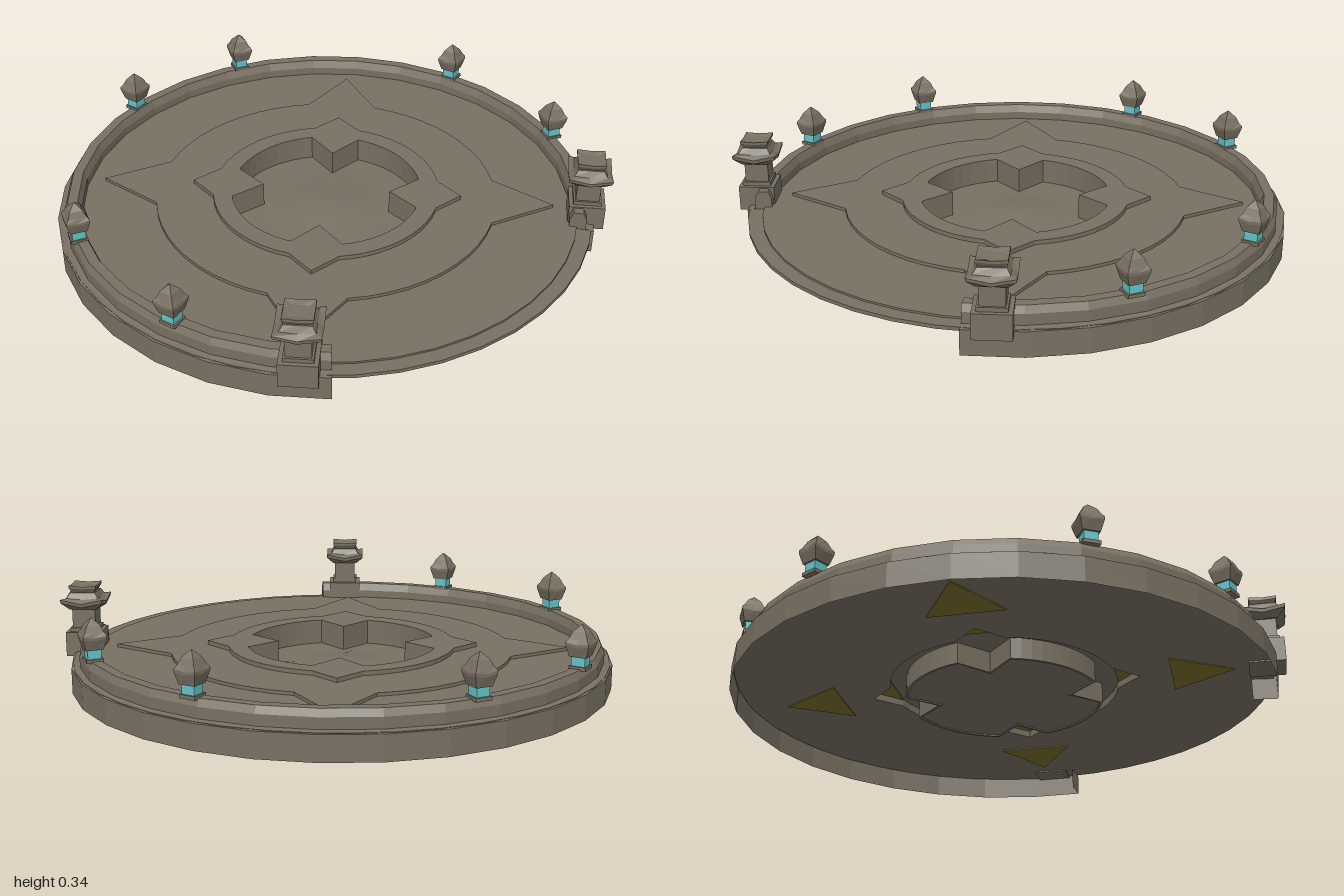
import * as THREE from 'three';

const rad = THREE.MathUtils.degToRad;
const stone = new THREE.MeshStandardMaterial({ color: 0x787062, side: THREE.DoubleSide });
stone.name = 'stone';
const olive = new THREE.MeshStandardMaterial({ color: 0x7a6c2a, side: THREE.DoubleSide });
olive.name = 'olive inlay';
const cyan = new THREE.MeshStandardMaterial({ color: 0x62c3c9 });
cyan.name = 'cyan glow';

function part(name, geometry, material = stone) {
  const mesh = new THREE.Mesh(geometry, material);
  mesh.name = name;
  return mesh;
}

function faceted(geometry) {
  const g = geometry.index ? geometry.toNonIndexed() : geometry;
  g.computeVertexNormals();
  return g;
}

// Four arcs joined by a corner point on each diagonal: pointed out or notched in.
function outline(arcRadius, halfAngle, cornerRadius, steps = 10) {
  const points = [];
  const add = (r, deg) => points.push(new THREE.Vector2(r * Math.cos(rad(deg)), r * Math.sin(rad(deg))));
  for (let q = 0; q < 4; q++) {
    for (let i = 0; i <= steps; i++) add(arcRadius, q * 90 - halfAngle + (2 * halfAngle * i) / steps);
    add(cornerRadius, q * 90 + 45);
  }
  return points;
}

// Horizontal plate between two heights, with an optional hole.
function plate(points, y0, y1, hole) {
  const shape = new THREE.Shape(points);
  if (hole) shape.holes.push(new THREE.Path(hole));
  const g = new THREE.ExtrudeGeometry(shape, { depth: y1 - y0, bevelEnabled: false });
  return g.rotateX(-Math.PI / 2).translate(0, y0, 0);
}

// Skin over closed rings of equal point count.
function loft(rings) {
  const n = rings[0].length;
  const position = rings.flat().flatMap((p) => [p.x, p.y, p.z]);
  const index = [];
  for (let r = 0; r < rings.length - 1; r++) {
    for (let i = 0; i < n; i++) {
      const a = r * n + i, b = r * n + ((i + 1) % n);
      index.push(a, a + n, b, b, a + n, b + n);
    }
  }
  const g = new THREE.BufferGeometry();
  g.setAttribute('position', new THREE.Float32BufferAttribute(position, 3));
  g.setIndex(index);
  g.computeVertexNormals();
  return g;
}

// Square loft; each section is [half width, height, corner lift].
function squareLoft(sections) {
  const corners = [[1, 0], [1, 1], [0, 1], [-1, 1], [-1, 0], [-1, -1], [0, -1], [1, -1]];
  return faceted(loft(sections.map(([h, y, lift = 0]) =>
    corners.map(([x, z]) => new THREE.Vector3(x * h, y + (x && z ? lift : 0), z * h)))));
}

function box(w, y0, y1) {
  return new THREE.BoxGeometry(w, y1 - y0, w).translate(0, (y0 + y1) / 2, 0);
}

function placeOnRim(group, radius, deg) {
  group.position.set(radius * Math.cos(rad(deg)), 0, radius * Math.sin(rad(deg)));
  group.rotation.y = -rad(deg);
  return group;
}

function makeLamp() {
  const lamp = new THREE.Group();
  lamp.name = 'lamp';
  lamp.add(part('lampFoot', box(0.06, 0.155, 0.168)));
  lamp.add(part('lampGlow', box(0.048, 0.168, 0.202), cyan));
  lamp.add(part('lampCap', squareLoft([
    [0, 0.2], [0.03, 0.2], [0.041, 0.235, 0.006], [0.041, 0.245, 0.006],
    [0.033, 0.262], [0.023, 0.285], [0.007, 0.303], [0, 0.31],
  ])));
  return lamp;
}

function makeGatePost() {
  const post = new THREE.Group();
  post.name = 'gatePost';
  post.add(part('pedestal', box(0.13, 0.075, 0.165)));
  post.add(part('plinth', box(0.1, 0.165, 0.18)));
  post.add(part('shaft', box(0.085, 0.18, 0.262)));
  post.add(part('roof', squareLoft([
    [0, 0.25], [0.05, 0.25], [0.076, 0.262, 0.016], [0.078, 0.275, 0.016],
    [0.058, 0.288, 0.005], [0.046, 0.312], [0, 0.312],
  ])));
  post.add(part('roofCap', squareLoft([[0.038, 0.308], [0.05, 0.326, 0.004], [0.05, 0.335, 0.004], [0.03, 0.33], [0, 0.33]])));
  return post;
}

export function createModel() {
  const model = new THREE.Group();
  model.name = 'arena';

  // Rim wall, open towards +x
  const openAngle = 38;
  const profile = [[0.99, 0], [0.99, 0.09], [0.96, 0.096], [0.96, 0.135], [0.948, 0.16],
    [0.912, 0.16], [0.9, 0.13], [0.9, 0.09]].map(([x, y]) => new THREE.Vector2(x, y));
  model.add(part('rimWall', faceted(new THREE.LatheGeometry(
    profile, 24, rad(90 + openAngle), rad(360 - 2 * openAngle)))));
  for (const side of [1, -1]) {
    const end = new THREE.ShapeGeometry(new THREE.Shape([...profile, new THREE.Vector2(0.9, 0)]));
    model.add(part('rimWallEnd', end.rotateY(-side * rad(openAngle))));
  }

  // Floor and raised star tiers around a cross-shaped pit
  const disc = (r) => outline(r, 42, r);
  const bigStar = outline(0.63, 32.5, 0.84);
  const smallStar = outline(0.42, 33, 0.5);
  const cross = outline(0.352, 30, 0.235);
  model.add(part('floorLip', plate(disc(0.982), 0.08, 0.093, smallStar)));
  model.add(part('floor', plate(disc(0.93), 0.093, 0.1, smallStar)));
  model.add(part('largeStar', plate(bigStar, 0.1, 0.112, smallStar)));
  model.add(part('smallStar', plate(smallStar, 0.108, 0.128, cross)));

  // Pit wall and softly domed pit floor
  const outerCross = outline(0.362, 30, 0.25);
  model.add(part('pitWall', plate(outerCross, 0.03, 0.11, cross)));
  const rings = [];
  for (let k = 0; k <= 10; k++) {
    const s = 1 - k / 10;
    rings.push(cross.map((p) => {
      const t = Math.min(1, (p.length() * s) / 0.25);
      return new THREE.Vector3(p.x * s, 0.035 + 0.0125 * (1 + Math.cos(Math.PI * t)), p.y * s);
    }));
  }
  model.add(part('pitFloor', loft(rings)));

  // Inlays beneath the star tips
  const inlay = (name, r, half, tip, y) => {
    for (let q = 0; q < 4; q++) {
      const mid = q * 90 + 45;
      const corners = [[r, mid - half], [tip, mid], [r, mid + half]].map(([d, a]) =>
        new THREE.Vector2(d * Math.cos(rad(a)), d * Math.sin(rad(a))));
      model.add(part(name, plate(corners, y - 0.004, y), olive));
    }
  };
  inlay('largeTipInlay', 0.63, 12.5, 0.84, 0.08);
  inlay('smallTipInlay', 0.42, 12, 0.495, 0.108);

  // Lamps and gate posts, mirrored front to back
  for (const side of [1, -1]) {
    for (const deg of [71, 107, 164]) model.add(placeOnRim(makeLamp(), 0.935, side * deg));
    model.add(placeOnRim(makeGatePost(), 0.955, side * 44));
  }
  return model;
}
